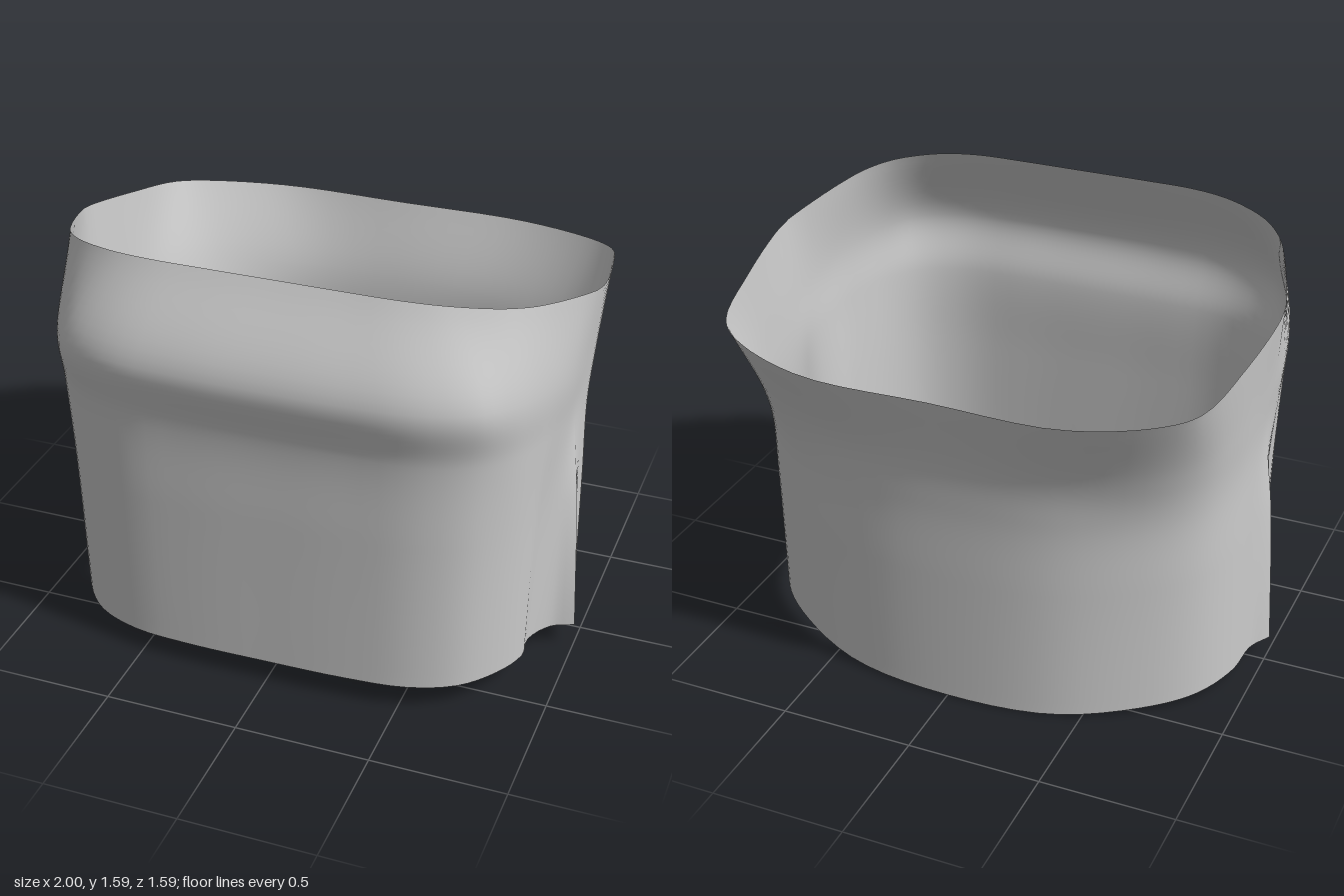
import * as THREE from 'three';

// Half cross-sections [x, z] from front centre to back centre; index 8 is the side seam.
const SEAM = 8;
const hem = [[0, .715], [.3, .712], [.53, .69], [.7, .62], [.81, .5], [.868, .37], [.862, .26], [.92, .15], [1, .11],
  [.95, -.02], [.93, -.17], [.85, -.34], [.7, -.48], [.4, -.635], [0, -.68]];
const waist = [[0, .735], [.3, .732], [.55, .715], [.72, .65], [.83, .54], [.89, .4], [.915, .27], [.93, .15], [.936, .06],
  [.935, -.05], [.92, -.2], [.85, -.38], [.7, -.52], [.4, -.65], [0, -.685]];
const bulge = [[0, .785], [.3, .78], [.56, .755], [.74, .68], [.83, .57], [.885, .45], [.925, .3], [.945, .17], [.95, .06],
  [.948, -.05], [.93, -.24], [.865, -.43], [.72, -.57], [.4, -.68], [0, -.705]];
const rim = [[0, .61], [.25, .61], [.45, .605], [.6, .575], [.75, .5], [.835, .41], [.89, .3], [.95, .13], [.975, .04],
  [.98, -.05], [.95, -.32], [.89, -.58], [.78, -.68], [.48, -.787], [0, -.79]];
const half = hem.map((p, i) => [(p[0] + waist[i][0]) / 2, (p[1] + waist[i][1]) / 2]);
const LEVELS = [[0, hem], [.4, half], [.63, waist], [.78, bulge], [1, rim]];

// Slanted lower and upper edges
const hemY = (x, z) => .07 + .064 * z - .052 * z * z + .014 * x;
const rimY = z => 1.44 + .228 * z + .025 * z * z;

// Vertical curve through one control point of every section
function column(i, side) {
  return new THREE.CatmullRomCurve3(LEVELS.map(([t, section]) => {
    const x = section[i][0] * side;
    let z = section[i][1];
    if (side < 0 && (i === SEAM || i === SEAM - 1)) z -= .05 * Math.max(0, 1 - t / .63);
    const low = hemY(hem[i][0] * side, hem[i][1]);
    return new THREE.Vector3(x, Math.max(0, low + t * (rimY(rim[i][1]) - low)), z);
  }));
}

function buildSleeve() {
  const ROWS = 40, FRONT = 64, BACK = 56, CREASE_TOP = .48;
  const frontColumns = [], backColumns = [];
  for (let k = -SEAM; k <= SEAM; k++) frontColumns.push(column(Math.abs(k), k < 0 ? -1 : 1));
  for (let i = SEAM; i < 15; i++) backColumns.push(column(i, 1));
  for (let i = 13; i >= SEAM; i--) backColumns.push(column(i, -1));

  const positions = [], indices = [];
  const stride = FRONT + BACK + 2;
  for (let r = 0; r <= ROWS; r++) {
    for (const [columns, count] of [[frontColumns, FRONT], [backColumns, BACK]]) {
      const ring = new THREE.CatmullRomCurve3(columns.map(c => c.getPoint(r / ROWS)));
      for (let c = 0; c <= count; c++) positions.push(...ring.getPoint(c / count).toArray());
    }
  }
  // Front and back keep separate seam vertices low down (sharp crease) and share them above.
  const at = (r, c) => {
    if (r / ROWS > CREASE_TOP) {
      if (c === FRONT + 1) c = FRONT;
      if (c === stride - 1) c = 0;
    }
    return r * stride + c;
  };
  for (let r = 0; r < ROWS; r++) {
    for (let c = 0; c < stride - 1; c++) {
      if (c === FRONT) continue;
      const a = at(r, c), b = at(r, c + 1), d = at(r + 1, c), e = at(r + 1, c + 1);
      indices.push(a, b, e, a, e, d);
    }
  }
  const geometry = new THREE.BufferGeometry();
  geometry.setAttribute('position', new THREE.Float32BufferAttribute(positions, 3));
  geometry.setIndex(indices);
  geometry.computeVertexNormals();
  return geometry;
}

export function createModel() {
  const group = new THREE.Group();
  group.name = 'tubeTop';
  const material = new THREE.MeshStandardMaterial({ color: 0xcccccc, side: THREE.DoubleSide });
  const sleeve = new THREE.Mesh(buildSleeve(), material);
  sleeve.name = 'fabricBand';
  group.add(sleeve);
  return group;
}
